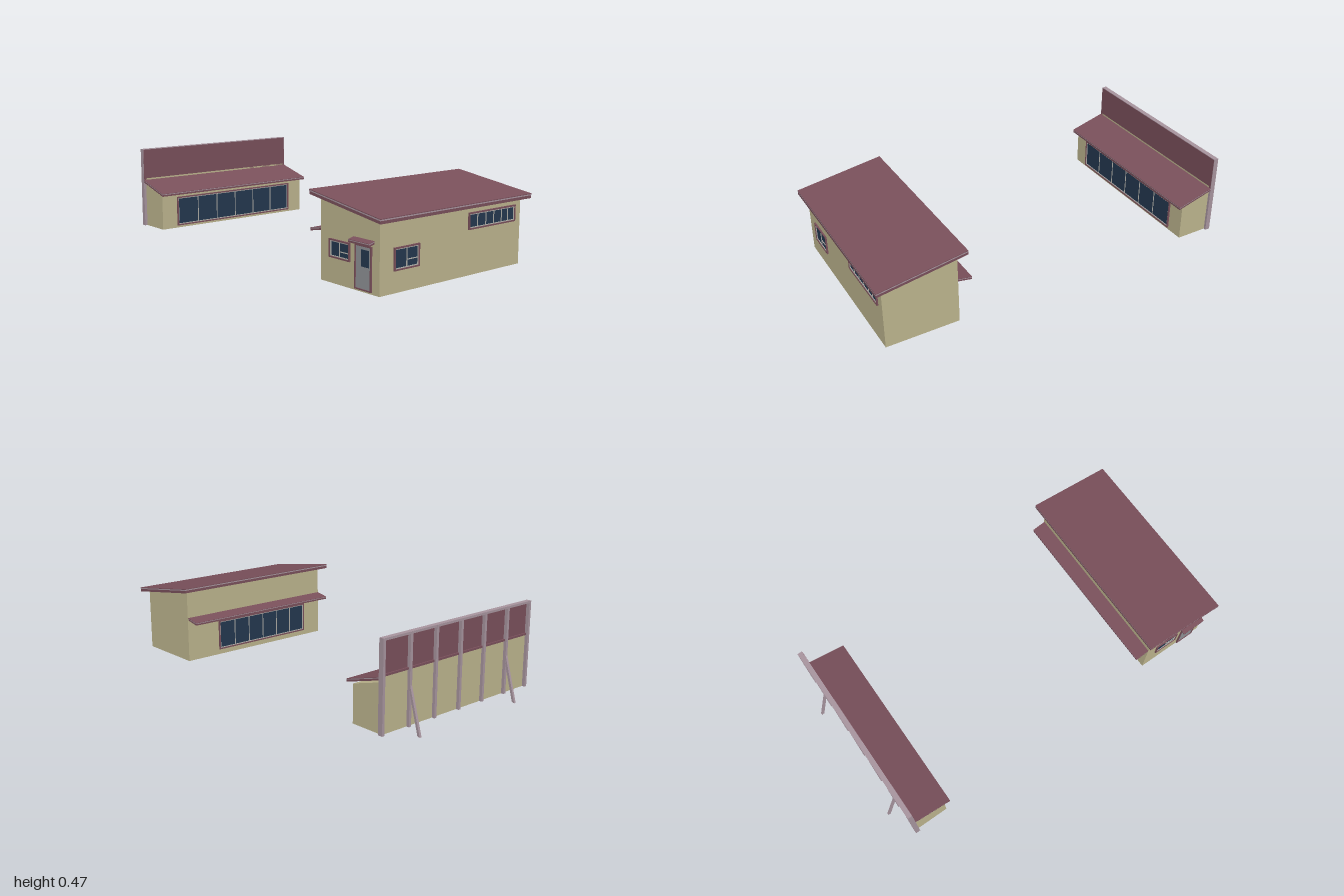
import * as THREE from 'three';

const mat = (color) => new THREE.MeshStandardMaterial({ color });
const WALL = mat(0xbdb58e), ROOF = mat(0x7a505b), TRIM = mat(0xa8959f);
const GLASS = mat(0x24384f), BAR = mat(0xb4b2ac), DOOR = mat(0x8f9296);

// Box given by its limits on each axis
function box(parent, name, material, [x0, x1], [y0, y1], [z0, z1]) {
  const m = new THREE.Mesh(new THREE.BoxGeometry(x1 - x0, y1 - y0, z1 - z0), material);
  m.position.set((x0 + x1) / 2, (y0 + y1) / 2, (z0 + z1) / 2);
  m.name = name;
  parent.add(m);
  return m;
}

// Prism along x from a (z, y) cross-section
function prism(parent, name, material, [x0, x1], points) {
  const shape = new THREE.Shape(points.map(([z, y]) => new THREE.Vector2(z, y)));
  const g = new THREE.ExtrudeGeometry(shape, { depth: x1 - x0, bevelEnabled: false });
  g.rotateY(-Math.PI / 2).translate(x1, 0, 0);
  const m = new THREE.Mesh(g, material);
  m.name = name;
  parent.add(m);
  return m;
}

// Sloping slab: roof board, pale flashing strip, thin top sheet
function slopedRoof(parent, name, xs, [za, ya], [zb, yb], thick) {
  const group = new THREE.Group();
  group.name = name;
  const layer = (part, material, top, bottom, inset) => prism(group, part, material,
    [xs[0] + inset, xs[1] - inset],
    [[za, ya - bottom], [zb, yb - bottom], [zb, yb - top], [za, ya - top]]);
  layer('roofBoard', ROOF, thick * 0.4, thick, 0.001);
  layer('roofFlashing', TRIM, thick * 0.15, thick * 0.4, 0);
  layer('roofSheet', ROOF, 0, thick * 0.15, 0);
  parent.add(group);
  return group;
}

// Rectangular ring facing +z
function ring(parent, name, material, w, h, border, depth) {
  const rect = (T, a, b) => {
    const s = new T();
    s.moveTo(-a, -b); s.lineTo(a, -b); s.lineTo(a, b); s.lineTo(-a, b); s.closePath();
    return s;
  };
  const shape = rect(THREE.Shape, w / 2, h / 2);
  shape.holes.push(rect(THREE.Path, w / 2 - border, h / 2 - border));
  const m = new THREE.Mesh(new THREE.ExtrudeGeometry(shape, { depth, bevelEnabled: false }), material);
  m.name = name;
  parent.add(m);
}

// Window centred on its origin, facing +z; bars are x positions of the mullions
function makeWindow(name, w, h, bars, crossbar = false) {
  const g = new THREE.Group();
  g.name = name;
  const iw = w / 2 - 0.008, ih = h / 2 - 0.008;
  ring(g, 'windowFrame', ROOF, w, h, 0.007, 0.008);
  ring(g, 'windowSash', BAR, w - 0.014, h - 0.014, 0.004, 0.005);
  box(g, 'windowGlass', GLASS, [-iw, iw], [-ih, ih], [-0.002, 0.002]);
  for (const x of bars) box(g, 'mullion', BAR, [x - 0.0018, x + 0.0018], [-ih, ih], [0, 0.005]);
  if (crossbar) box(g, 'crossbar', BAR, [0, iw], [-h * 0.1 - 0.002, -h * 0.1 + 0.002], [0, 0.005]);
  return g;
}

// Evenly spaced mullions for n panes
const evenBars = (w, n) => Array.from({ length: n - 1 }, (_, i) => (w - 0.02) * ((i + 1) / n - 0.5));

function place(parent, object, x, y, z, turn = 0) {
  object.position.set(x, y, z);
  object.rotation.y = turn;
  parent.add(object);
}

function makeFrontBuilding() {
  const g = new THREE.Group();
  g.name = 'frontBuilding';
  prism(g, 'walls', WALL, [-0.46, 0.47], [[0.58, 0.006], [0.963, 0.006], [0.963, 0.338], [0.58, 0.395]]);
  slopedRoof(g, 'mainRoof', [-0.495, 0.505], [0.54, 0.421], [1, 0.352], 0.023);
  slopedRoof(g, 'rearAwning', [-0.46, 0.467], [0.505, 0.235], [0.582, 0.249], 0.014);

  // Front windows
  place(g, makeWindow('smallFrontWindow', 0.155, 0.103, [0], true), -0.302, 0.157, 0.963);
  place(g, makeWindow('longFrontWindow', 0.332, 0.08, [-0.104, -0.046, 0.01, 0.066, 0.112]), 0.261, 0.262, 0.963);

  // Rear window band
  place(g, makeWindow('rearWindow', 0.615, 0.165, evenBars(0.615, 6)), -0.037, 0.117, 0.58, Math.PI);

  // End window, door and its canopy
  place(g, makeWindow('endWindow', 0.137, 0.085, [0], true), -0.46, 0.167, 0.712, -Math.PI / 2);
  const door = new THREE.Group();
  door.name = 'door';
  ring(door, 'doorFrame', ROOF, 0.104, 0.2, 0.006, 0.008);
  box(door, 'doorPanel', DOOR, [-0.047, 0.047], [-0.095, 0.095], [-0.002, 0.004]);
  box(door, 'doorGlass', GLASS, [-0.012, 0.037], [0.005, 0.08], [0, 0.006]);
  place(g, door, -0.46, 0.115, 0.865, -Math.PI / 2);
  const canopy = new THREE.Group();
  slopedRoof(canopy, 'canopySlab', [-0.066, 0.066], [-0.001, 0.243], [0.032, 0.235], 0.014);
  canopy.name = 'doorCanopy';
  place(g, canopy, -0.46, 0, 0.865, -Math.PI / 2);
  return g;
}

function makeRearBuilding() {
  const g = new THREE.Group();
  g.name = 'rearBuilding';
  prism(g, 'walls', WALL, [-0.495, 0.482], [[-0.92, 0.03], [-0.738, 0.03], [-0.738, 0.217], [-0.908, 0.265], [-0.908, 0.3], [-0.92, 0.3]]);
  slopedRoof(g, 'leanRoof', [-0.51, 0.495], [-0.91, 0.292], [-0.71, 0.236], 0.015);
  place(g, makeWindow('frontWindow', 0.79, 0.163, evenBars(0.79, 6)), -0.007, 0.124, -0.738);

  // Tall screen with its posts and rails
  box(g, 'screenPanel', ROOF, [-0.508, 0.493], [0.285, 0.463], [-0.918, -0.908]);
  box(g, 'topRail', TRIM, [-0.51, 0.495], [0.455, 0.466], [-0.934, -0.909]);
  box(g, 'middleRail', ROOF, [-0.505, 0.49], [0.294, 0.304], [-0.926, -0.915]);
  for (let i = 0; i < 7; i++) {
    const x = -0.503 + i * 0.1652;
    const end = i === 0 || i === 6;
    box(g, 'post', TRIM, [x - 0.007, x + 0.007], [0.03, 0.465], [-0.935, end ? -0.909 : -0.916]);
    // Raking struts to the ground
    if (i === 1 || i === 5) {
      prism(g, 'strut', TRIM, [x - 0.006, x + 0.006],
        [[-1, 0], [-0.986, 0.003], [-0.924, 0.222], [-0.936, 0.222]]);
    }
  }
  return g;
}

export function createModel() {
  const model = new THREE.Group();
  model.name = 'facingBuildings';
  model.add(makeFrontBuilding(), makeRearBuilding());
  return model;
}
